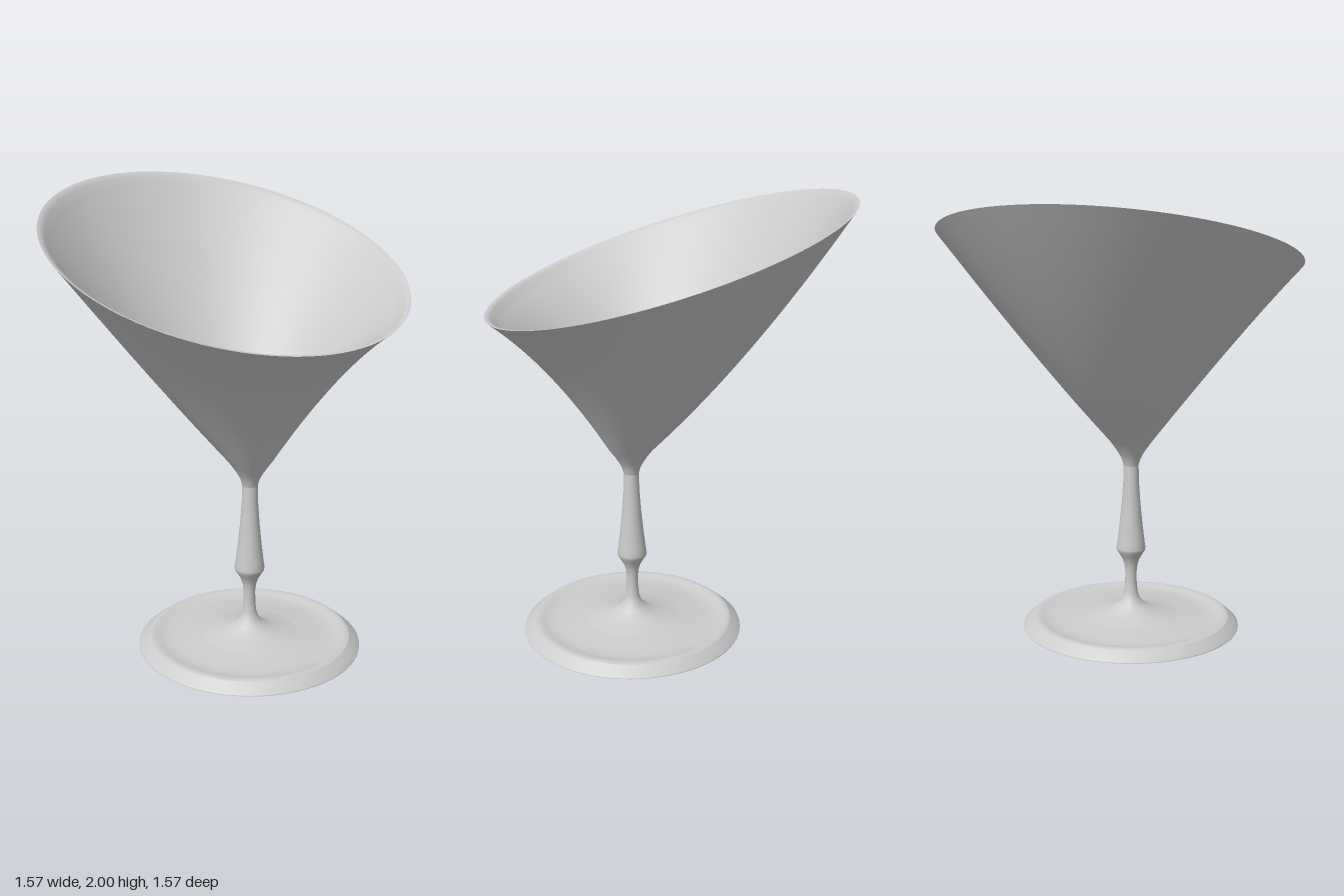
import * as THREE from 'three';

const SEG = 96;
const AXIS_Z = 0.17; // the stem stands forward of the bowl's rim centre

// Skins a stack of rings [y, radius, centreZ, lift]; lift lowers the front and raises the back.
function loft(rings) {
  const pos = [], idx = [];
  for (const [y, r, z, lift] of rings) {
    for (let j = 0; j < SEG; j++) {
      const a = (j / SEG) * Math.PI * 2;
      pos.push(r * Math.sin(a), y - lift * Math.cos(a), z + r * Math.cos(a));
    }
  }
  for (let i = 0; i < rings.length - 1; i++) {
    for (let j = 0; j < SEG; j++) {
      const k = (j + 1) % SEG;
      const a = i * SEG + j, b = i * SEG + k, c = b + SEG, d = a + SEG;
      idx.push(a, b, c, a, c, d);
    }
  }
  const geo = new THREE.BufferGeometry();
  geo.setAttribute('position', new THREE.Float32BufferAttribute(pos, 3));
  geo.setIndex(idx);
  geo.computeVertexNormals();
  return geo;
}

// Rings from a level circle on the stem axis to the slanted rim.
function wall(y0, r0, y1, r1, lift, steps = 20) {
  const rings = [];
  for (let i = 0; i <= steps; i++) {
    const t = i / steps;
    rings.push([
      THREE.MathUtils.lerp(y0, y1, t),
      THREE.MathUtils.lerp(r0, r1, t),
      AXIS_Z * (1 - t),
      lift * t * t,
    ]);
  }
  return rings;
}

export function createModel() {
  const group = new THREE.Group();
  const material = new THREE.MeshStandardMaterial({ color: 0xcccccc, side: THREE.DoubleSide });
  const add = (name, geo, z = 0) => {
    const mesh = new THREE.Mesh(geo, material);
    mesh.name = name;
    mesh.position.z = z;
    group.add(mesh);
    return mesh;
  };
  const lathe = (pts) => new THREE.LatheGeometry(pts.map(([r, y]) => new THREE.Vector2(r, y)), SEG);

  // Bowl outside, flaring out of the neck
  const neck = [
    [0.76, 0.034], [0.79, 0.042], [0.82, 0.058], [0.85, 0.078],
  ].map(([y, r]) => [y, r, AXIS_Z, 0]);
  add('bowlOuter', loft([...neck, ...wall(0.88, 0.1, 1.755, 0.787, 0.245)]));

  // Bowl inside: rim lip, wall and rounded floor
  const inside = wall(0.935, 0.1, 1.715, 0.738, 0.231).reverse();
  add('bowlInner', loft([
    [1.755, 0.787, 0, 0.245],
    [1.753, 0.774, 0, 0.241],
    [1.742, 0.759, 0, 0.237],
    ...inside,
    [0.915, 0.075, AXIS_Z, 0],
    [0.905, 0.04, AXIS_Z, 0],
    [0.902, 0.001, AXIS_Z, 0],
  ]));

  // Stem with its knop
  add('stem', lathe([
    [0.215, 0.049], [0.15, 0.061], [0.1, 0.077], [0.065, 0.097], [0.043, 0.122],
    [0.031, 0.155], [0.027, 0.2], [0.026, 0.25], [0.03, 0.285], [0.039, 0.315],
    [0.054, 0.34], [0.065, 0.358], [0.067, 0.37], [0.063, 0.395], [0.053, 0.48],
    [0.043, 0.58], [0.036, 0.68], [0.034, 0.77],
  ]), AXIS_Z);

  // Foot: dished top, bevelled edge and flat underside
  add('footTop', lathe([
    [0.452, 0.044], [0.442, 0.048], [0.425, 0.048], [0.405, 0.042], [0.38, 0.037],
    [0.34, 0.037], [0.28, 0.042], [0.215, 0.049],
  ]), AXIS_Z);
  add('footEdge', lathe([[0.498, 0], [0.498, 0.005], [0.475, 0.025], [0.452, 0.044]]), AXIS_Z);
  add('footBottom', new THREE.CircleGeometry(0.498, SEG).rotateX(Math.PI / 2), AXIS_Z);

  return group;
}
